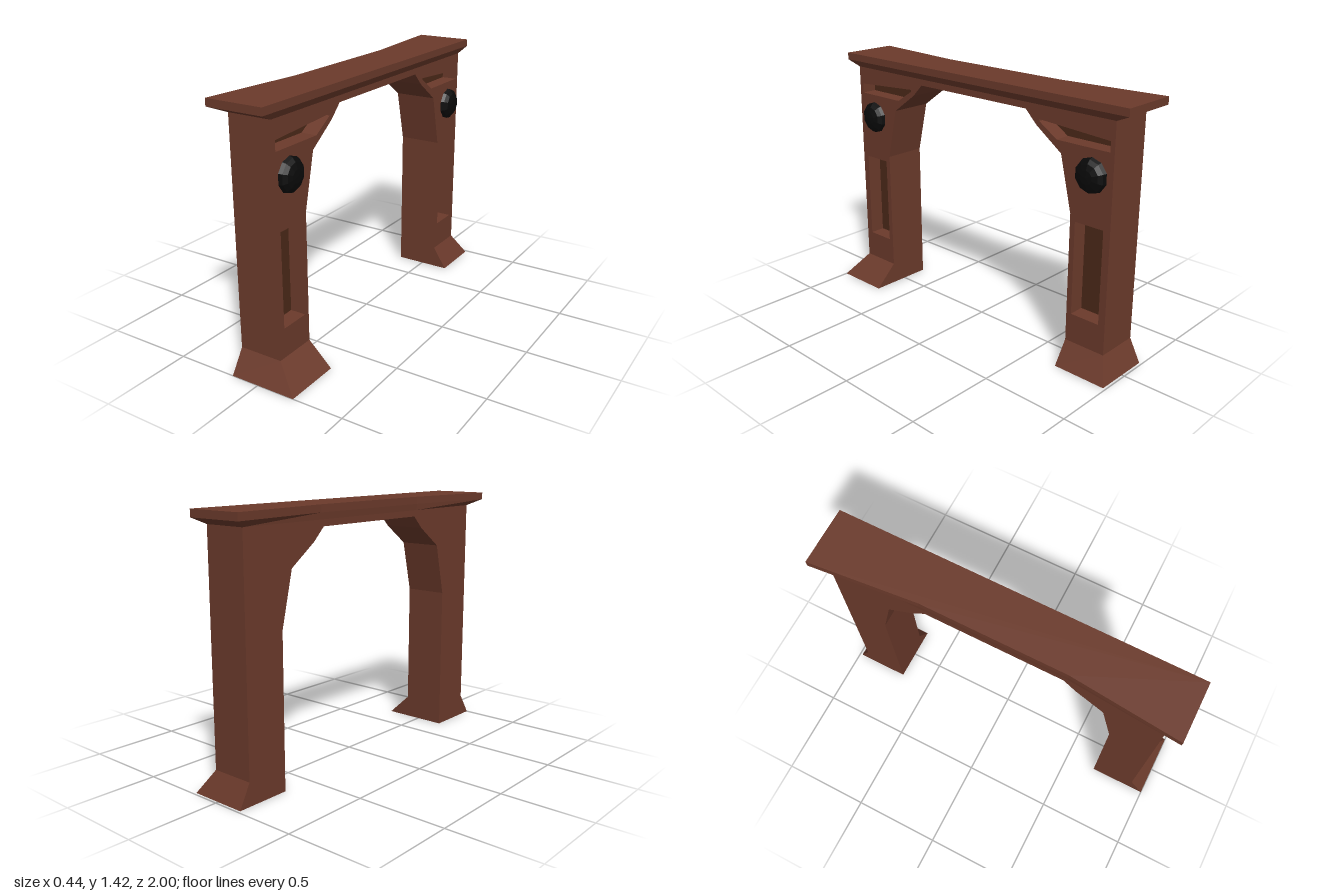
import * as THREE from 'three';

const wood = new THREE.MeshStandardMaterial({ color: 0x6b3a2b, flatShading: true });
const darkWood = new THREE.MeshStandardMaterial({ color: 0x4b2918, flatShading: true });
const black = new THREE.MeshStandardMaterial({ color: 0x0a0a0a, flatShading: true });

const BACK = -0.16, FRONT = 0.085, RECESS = -0.005;

const toShape = pts => new THREE.Shape(pts.map(p => new THREE.Vector2(...p)));
const mirror = pts => pts.map(([z, y]) => [-z, y]).reverse();

// Solid skinned over stacked plan outlines; each ring is { y, pts: [x, z] } in counterclockwise order from above
function loft(rings) {
  const n = rings[0].pts.length, pos = [], idx = [];
  for (const { y, pts } of rings) for (const [x, z] of pts) pos.push(x, y, z);
  for (let r = 0; r < rings.length - 1; r++) {
    for (let i = 0; i < n; i++) {
      const a = r * n + i, b = r * n + (i + 1) % n;
      idx.push(a, b, b + n, a, b + n, a + n);
    }
  }
  const flat = ring => THREE.ShapeUtils.triangulateShape(ring.pts.map(([x, z]) => new THREE.Vector2(x, -z)), []);
  const top = (rings.length - 1) * n;
  for (const [a, b, c] of flat(rings[0])) idx.push(a, c, b);
  for (const [a, b, c] of flat(rings[rings.length - 1])) idx.push(top + a, top + b, top + c);
  const geo = new THREE.BufferGeometry();
  geo.setAttribute('position', new THREE.Float32BufferAttribute(pos, 3));
  geo.setIndex(idx);
  const out = geo.toNonIndexed();
  out.computeVertexNormals();
  return out;
}

const rect = (x0, x1, z0, z1) => [[x1, z1], [x1, z0], [x0, z0], [x0, z1]];

export function createModel() {
  const model = new THREE.Group();
  const add = (name, geo, mat) => {
    const mesh = new THREE.Mesh(geo, mat);
    mesh.name = name;
    model.add(mesh);
    return mesh;
  };

  // Arch outline and recess outlines as [z, y], one half each
  const half = [[0.92, 0.125], [0.92, 1.345]];
  const inner = [[0.38, 1.31], [0.45, 1.24], [0.61, 1.125], [0.68, 0.83], [0.68, 0.125]];
  const outline = [...half, ...mirror(half), ...mirror(inner), ...inner];
  const lowerRecess = [[0.71, 0.285], [0.88, 0.285], [0.88, 0.795], [0.71, 0.795]];
  const upperRecess = [[0.58, 1.19], [0.895, 1.19], [0.895, 1.245], [0.468, 1.272], [0.468, 1.262]];
  const recesses = [lowerRecess, upperRecess, mirror(lowerRecess), mirror(upperRecess)];

  // Arch: a plain back layer and a front layer pierced by the recesses
  const layer = (name, x0, x1, holes) => {
    const shape = toShape(outline);
    shape.holes = holes.map(toShape);
    const geo = new THREE.ExtrudeGeometry(shape, { depth: x1 - x0, bevelEnabled: false });
    geo.rotateY(Math.PI / 2).translate(x0, 0, 0);
    add(name, geo, wood);
  };
  layer('archBack', BACK, RECESS, []);
  layer('archFront', RECESS, FRONT, recesses);

  // Dark panels at the bottom of the recesses
  for (const pts of recesses) {
    const geo = new THREE.ShapeGeometry(toShape(pts));
    geo.rotateY(Math.PI / 2).translate(RECESS + 0.002, 0, 0);
    add('recessPanel', geo, darkWood);
  }

  // Flared feet, the left one reaching further forward
  add('leftFoot', loft([
    { y: 0, pts: rect(BACK, 0.217, 0.68, 1) },
    { y: 0.125, pts: rect(BACK, FRONT, 0.68, 0.92) },
  ]), wood);
  add('rightFoot', loft([
    { y: 0, pts: rect(BACK, 0.165, -0.985, -0.68) },
    { y: 0.125, pts: rect(BACK, FRONT, -0.92, -0.68) },
  ]), wood);

  // Mantel shelf with bevelled underside, its back edge widening to the ends
  const shelf = (front, back, middle, end) => [
    [front, end], [front, -end], [back, -end], [middle, -0.4], [middle, 0.4], [back, end],
  ];
  add('mantelShelf', loft([
    { y: 1.345, pts: shelf(FRONT, BACK, BACK, 0.92) },
    { y: 1.38, pts: shelf(0.105, -0.22, -0.163, 1) },
    { y: 1.42, pts: shelf(0.105, -0.22, -0.163, 1) },
  ]), wood);

  // Faceted black bosses
  for (const s of [1, -1]) {
    const geo = new THREE.SphereGeometry(1, 10, 4, 0, Math.PI * 2, 0, Math.PI / 2);
    geo.rotateZ(-Math.PI / 2).scale(0.05, 0.092, 0.092);
    add('boss', geo, black).position.set(FRONT, 1.055, s * 0.795);
  }

  return model;
}
